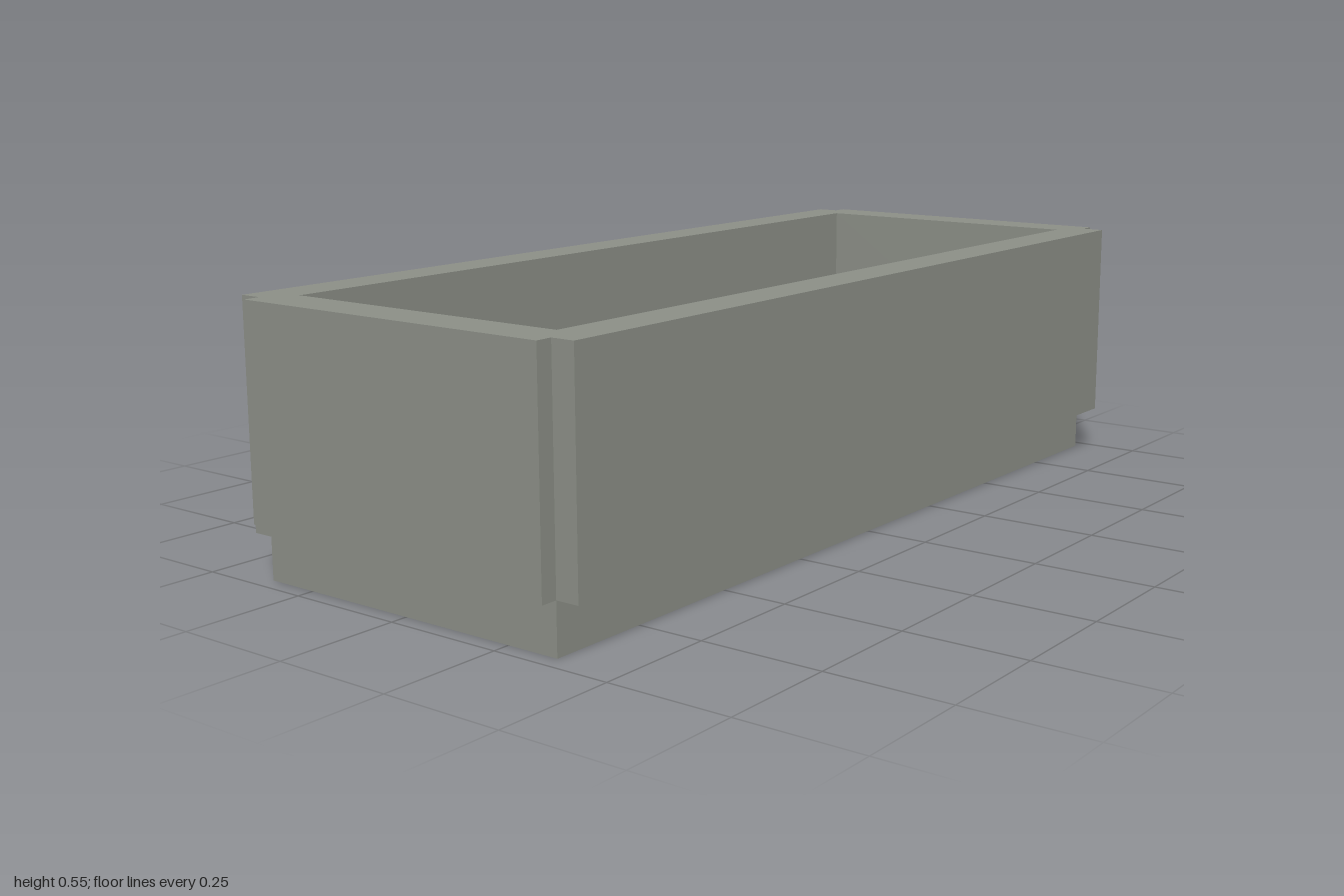
import * as THREE from 'three';

const stone = new THREE.MeshStandardMaterial({ color: 0x8b8e86 });
stone.name = 'grey stone';
const teal = new THREE.MeshStandardMaterial({ color: 0x40666a });
teal.name = 'dark teal';

const BASE_X = 0.965, BASE_Z = 0.362; // plinth half sizes
const WALL_X = 1, WALL_Z = 0.411;     // wall half sizes
const BASE_TOP = 0.102, RIM = 0.545;

function block(name, material, halfX, halfZ, bottom, top) {
  const mesh = new THREE.Mesh(new THREE.BoxGeometry(halfX * 2, top - bottom, halfZ * 2), material);
  mesh.position.y = (bottom + top) / 2;
  mesh.name = name;
  return mesh;
}

// Rectangular wall ring with a square notch in each outer corner
function walls() {
  const quarter = [[WALL_X, BASE_Z], [BASE_X, BASE_Z], [BASE_X, WALL_Z]];
  const mirrored = (sx, sz) => quarter.map(([x, z]) => new THREE.Vector2(x * sx, z * sz));
  const shape = new THREE.Shape([
    ...mirrored(1, 1), ...mirrored(-1, 1).reverse(),
    ...mirrored(-1, -1), ...mirrored(1, -1).reverse(),
  ]);
  const x = 0.905, z = 0.32;
  shape.holes.push(new THREE.Path([[-x, -z], [-x, z], [x, z], [x, -z]].map(p => new THREE.Vector2(...p))));
  const geometry = new THREE.ExtrudeGeometry(shape, { depth: RIM - BASE_TOP, bevelEnabled: false });
  geometry.rotateX(-Math.PI / 2);
  const mesh = new THREE.Mesh(geometry, stone);
  mesh.position.y = BASE_TOP;
  mesh.name = 'walls';
  return mesh;
}

export function createModel() {
  const model = new THREE.Group();
  model.name = 'stoneTrough';
  model.add(
    block('plinth', stone, BASE_X, BASE_Z, 0, BASE_TOP),
    walls(),
    // Filling inside the trough, with a narrow gap to the walls
    block('filling', teal, 0.865, 0.293, BASE_TOP, 0.3),
  );
  return model;
}
